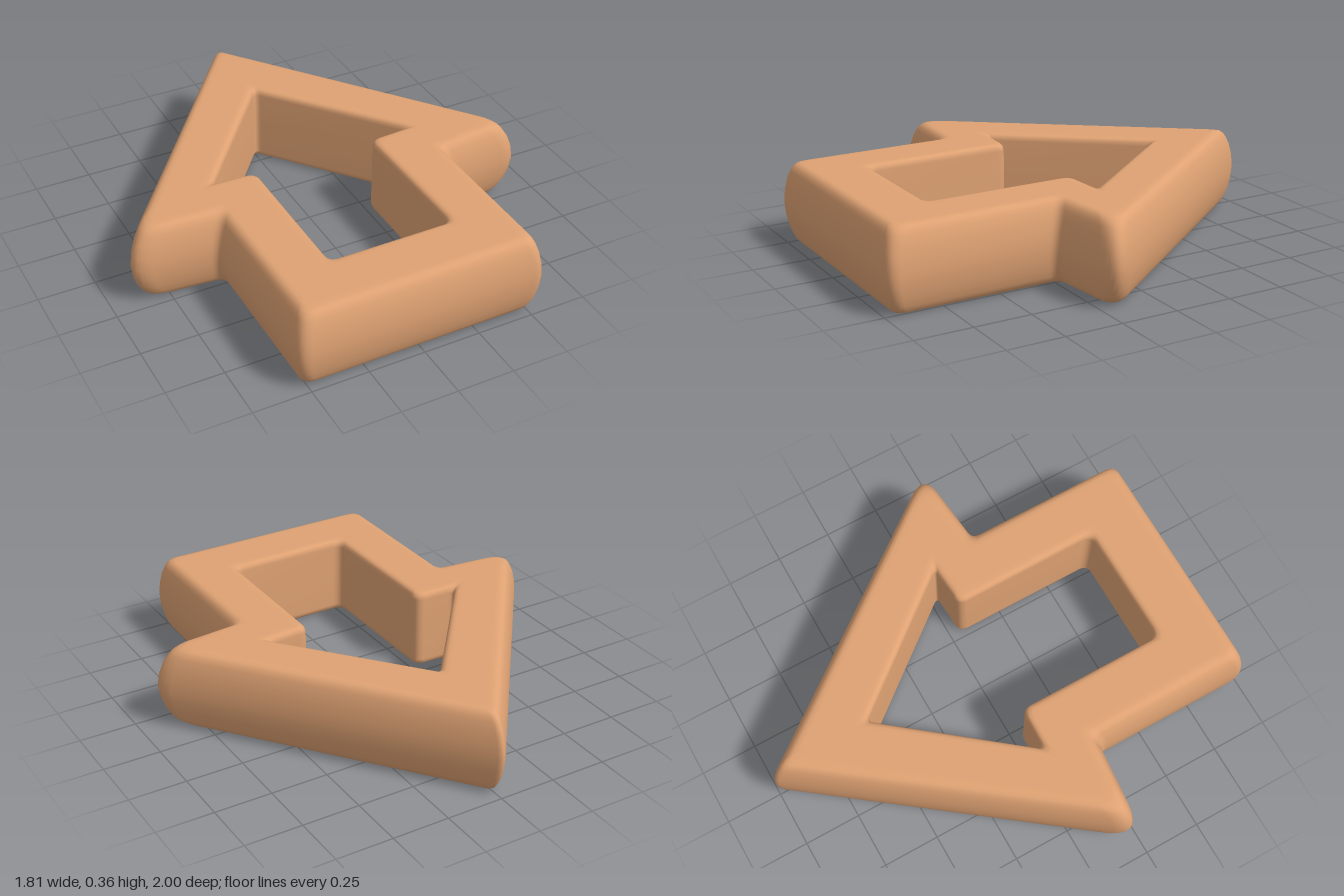
import * as THREE from 'three';

const HEIGHT = 0.36;
const CORNER_STEPS = 8;

// Corners in order [x, z, rounding], from the apex clockwise; the left side is mirrored
const mirrorCorners = (half) => [...half, ...half.slice(1).reverse().map(([x, z, r]) => [-x, z, r])];
const OUTER = mirrorCorners([[0, -1.012, 0.03], [0.95, 0.232, 0.12], [0.55, 0.27, 0.04], [0.55, 1, 0.05]]);
const INNER = mirrorCorners([[0, -0.548, 0.03], [0.465, 0.032, 0.03], [0.272, 0.042, 0.04], [0.272, 0.705, 0.045]]);

// Moves every edge inward by d, then rounds each corner with a quadratic curve
function roundedOutline(corners, d) {
  const n = corners.length;
  const pts = corners.map(([x, z]) => new THREE.Vector2(x, z));
  const dirs = pts.map((p, i) => pts[(i + 1) % n].clone().sub(p).normalize());
  const moved = pts.map((p, i) => {
    const a = dirs[(i + n - 1) % n], b = dirs[i];
    const na = new THREE.Vector2(-a.y, a.x), nb = new THREE.Vector2(-b.y, b.x);
    return p.clone().addScaledVector(na.clone().add(nb), d / (1 + na.dot(nb)));
  });
  return moved.flatMap((p, i) => {
    const r = corners[i][2];
    const start = p.clone().addScaledVector(dirs[(i + n - 1) % n], -r);
    const end = p.clone().addScaledVector(dirs[i], r);
    return new THREE.QuadraticBezierCurve(start, p, end).getPoints(CORNER_STEPS);
  });
}

function createFrameGeometry() {
  // Upper half of the section [inset, y]: bulging outer wall, nearly straight inner wall
  const outerHalf = [[0, 0.18], [0.004, 0.235], [0.013, 0.285], [0.025, 0.322], [0.034, 0.341],
    [0.046, 0.354], [0.062, 0.36], [0.085, 0.36]];
  const innerHalf = [[-0.045, 0.36], [-0.025, 0.36], [-0.012, 0.356], [-0.004, 0.347], [0, 0.33], [0, 0.18]];
  const flip = (half) => half.map(([d, y]) => [d, HEIGHT - y]).reverse();
  const section = [
    ...outerHalf.map((s) => [OUTER, ...s]),
    ...innerHalf.map((s) => [INNER, ...s]),
    ...flip(innerHalf).slice(1).map((s) => [INNER, ...s]),
    ...flip(outerHalf).slice(0, -1).map((s) => [OUTER, ...s]),
  ];

  const rings = section.map(([corners, d, y]) => roundedOutline(corners, d).map((p) => [p.x, y, p.y]));
  const m = rings.length, n = rings[0].length;
  const index = [];
  for (let j = 0; j < m; j++) {
    const k = (j + 1) % m;
    for (let i = 0; i < n; i++) {
      const q = (i + 1) % n;
      const a = j * n + i, b = k * n + i, c = k * n + q, e = j * n + q;
      index.push(a, b, e, b, c, e);
    }
  }
  const geometry = new THREE.BufferGeometry();
  geometry.setAttribute('position', new THREE.Float32BufferAttribute(rings.flat(2), 3));
  geometry.setIndex(index);
  geometry.computeVertexNormals();
  return geometry;
}

export function createModel() {
  const group = new THREE.Group();
  group.name = 'arrowOutline';
  const frame = new THREE.Mesh(createFrameGeometry(), new THREE.MeshStandardMaterial({ color: 0xdfa273 }));
  frame.name = 'arrowFrame';
  group.add(frame);
  return group;
}
